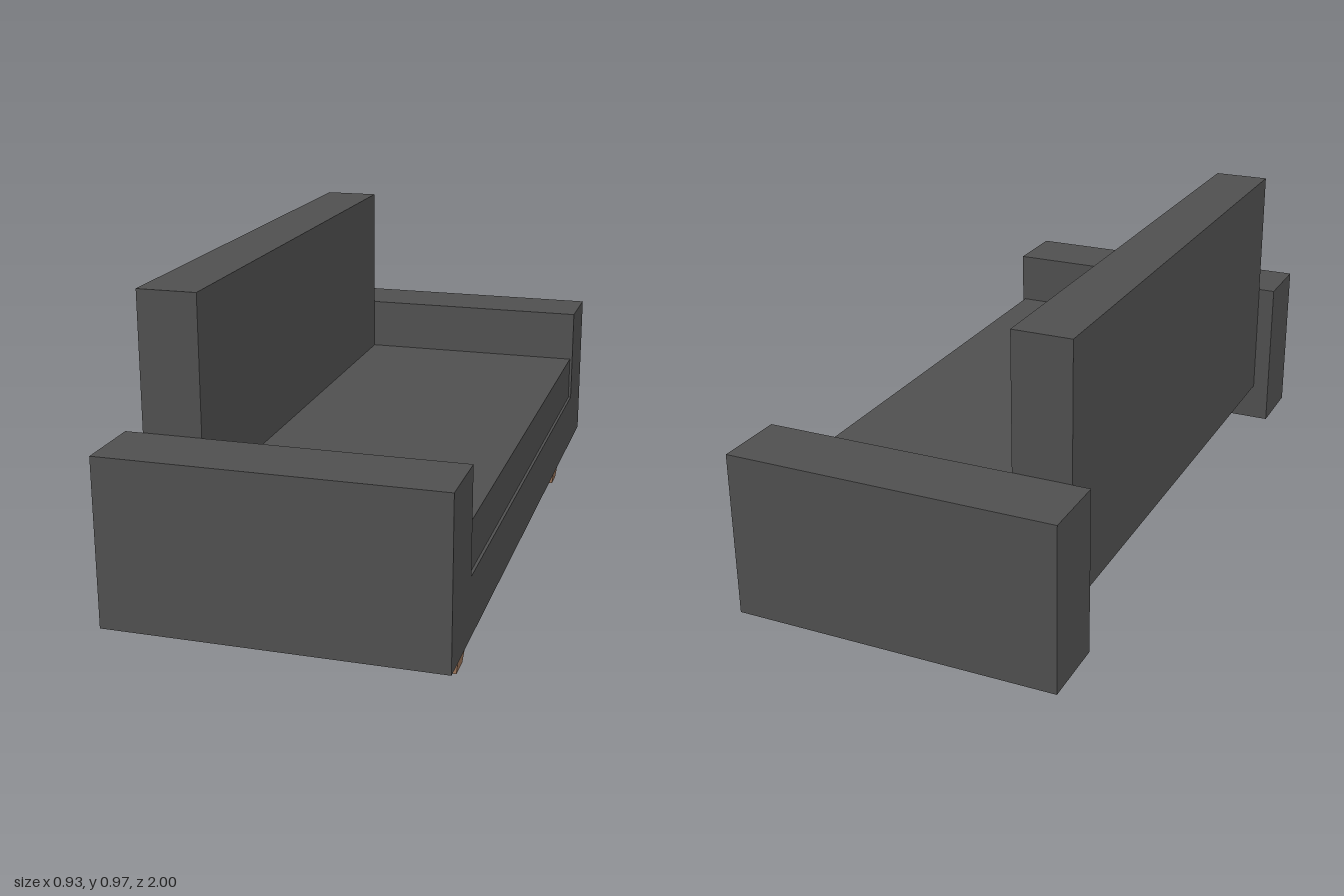
import * as THREE from 'three';

export function createModel() {
  const sofa = new THREE.Group();
  sofa.name = 'sofa';
  const fabric = new THREE.MeshStandardMaterial({ color: 0x505050, flatShading: true });
  const wood = new THREE.MeshStandardMaterial({ color: 0xa57c60, flatShading: true });

  // Box given by its lower and upper corners
  function box(name, [x0, y0, z0], [x1, y1, z1]) {
    const mesh = new THREE.Mesh(new THREE.BoxGeometry(x1 - x0, y1 - y0, z1 - z0), fabric);
    mesh.position.set((x0 + x1) / 2, (y0 + y1) / 2, (z0 + z1) / 2);
    mesh.name = name;
    sofa.add(mesh);
  }

  const inner = 0.795; // inner face of the arms

  // Upholstered body, seat facing +x
  box('base', [-0.25, 0.118, -inner], [0.465, 0.29, inner]);
  box('seatCushion', [-0.25, 0.29, -inner], [0.457, 0.428, inner]);
  box('backrest', [-0.415, 0.235, -inner], [-0.25, 0.972, inner]);
  box('leftArm', [-0.465, 0.118, inner], [0.465, 0.588, 1]);
  box('rightArm', [-0.465, 0.118, -1], [0.465, 0.588, -inner]);

  // Square legs tapering towards the floor
  const legGeometry = new THREE.CylinderGeometry(0.05 * Math.SQRT2, 0.035 * Math.SQRT2, 0.118, 4);
  legGeometry.rotateY(Math.PI / 4);
  for (const x of [-0.155, 0.39]) {
    for (const z of [-0.735, 0.735]) {
      const leg = new THREE.Mesh(legGeometry, wood);
      leg.position.set(x, 0.059, z);
      leg.name = (x > 0 ? 'front' : 'back') + (z > 0 ? 'Left' : 'Right') + 'Leg';
      sofa.add(leg);
    }
  }
  return sofa;
}
